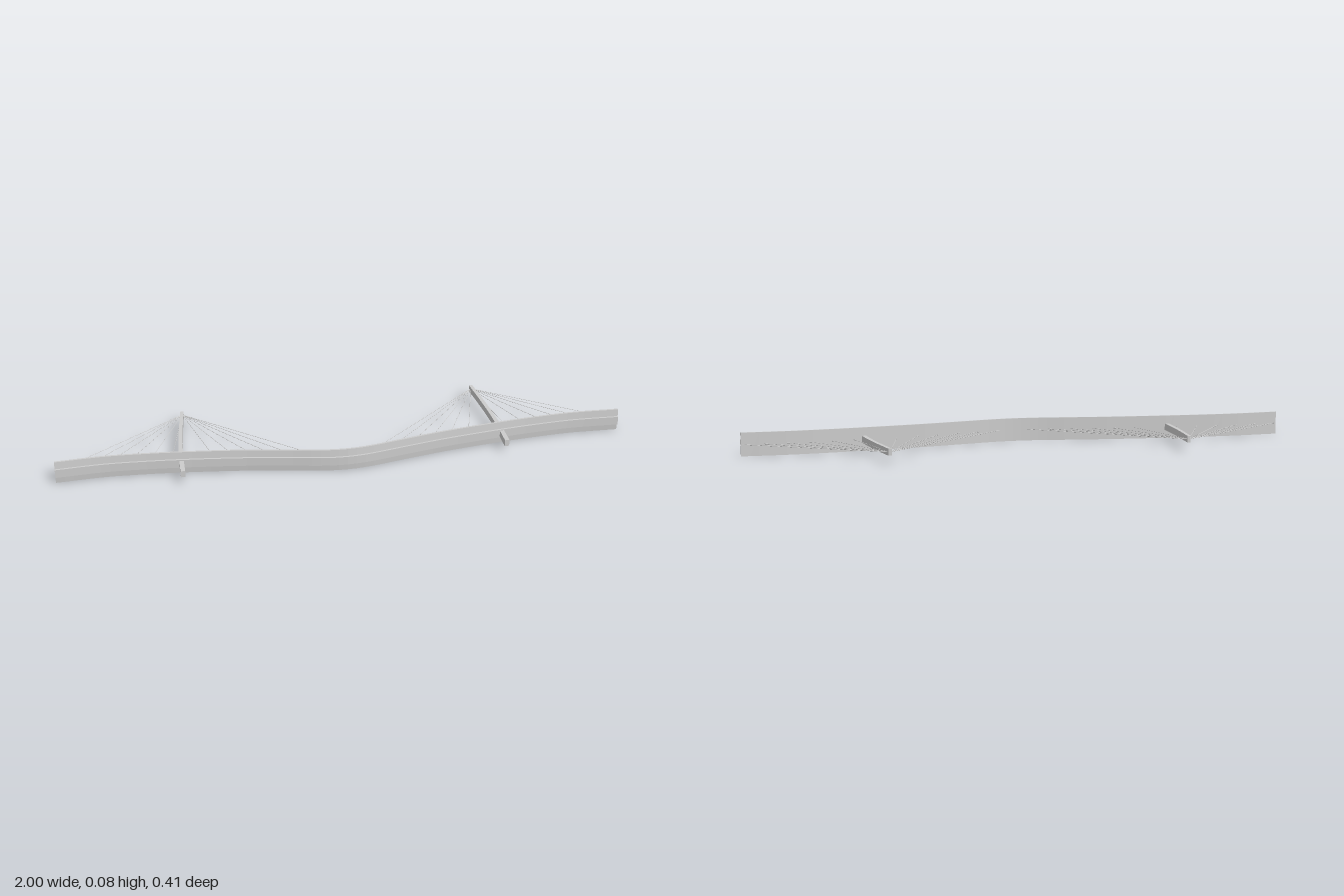
import * as THREE from 'three';

const MID = 0.0415; // centre line across the deck width
const mat = new THREE.MeshStandardMaterial({ color: 0xcccccc, flatShading: true, side: THREE.DoubleSide });

// Height curve of the road surface along x (mirrored about x = 0)
const half = [[0.07, 0.184], [0.2, 0.161], [0.35, 0.135], [0.57, 0.108], [0.7, 0.097], [0.83, 0.091], [1, 0.0975]];
const deckPoints = [...half.map(([x, z]) => [-x, z]).reverse(), [0, 0.1885], ...half];
const deckCurve = new THREE.CatmullRomCurve3(deckPoints.map(([x, z]) => new THREE.Vector3(x, 0, z)));

function deckZ(x) {
  let lo = 0, hi = 1;
  for (let i = 0; i < 24; i++) {
    const m = (lo + hi) / 2;
    if (deckCurve.getPoint(m).x < x) lo = m; else hi = m;
  }
  return deckCurve.getPoint(lo).z;
}

// Skin a row of equal closed loops and cap both ends
function loft(loops) {
  const n = loops[0].length, pos = loops.flat(2), idx = [];
  for (let i = 0; i < loops.length - 1; i++) {
    for (let j = 0; j < n; j++) {
      const a = i * n + j, b = i * n + (j + 1) % n;
      idx.push(a, b, a + n, b, b + n, a + n);
    }
  }
  const last = (loops.length - 1) * n;
  const cap = THREE.ShapeUtils.triangulateShape(loops[0].map((p) => capPoint(p, loops)), []);
  for (const [a, b, c] of cap) idx.push(a, c, b, last + a, last + b, last + c);
  const g = new THREE.BufferGeometry();
  g.setAttribute('position', new THREE.Float32BufferAttribute(pos, 3));
  g.setIndex(idx);
  const flat = g.toNonIndexed();
  flat.computeVertexNormals();
  return flat;
}

// Flatten a loop point: loops run either along x or along z
function capPoint([x, y, z], loops) {
  const alongX = loops[0][0][0] === loops[0][1][0];
  return alongX ? new THREE.Vector2(y, z) : new THREE.Vector2(x, y);
}

function add(parent, geometry, name) {
  const mesh = new THREE.Mesh(geometry, mat);
  mesh.name = name;
  parent.add(mesh);
  return mesh;
}

// Round rod between two points
function rod(parent, a, b, radius, name) {
  const mesh = add(parent, new THREE.CylinderGeometry(radius, radius, a.distanceTo(b), 6), name);
  mesh.position.copy(a).add(b).multiplyScalar(0.5);
  mesh.quaternion.setFromUnitVectors(new THREE.Vector3(0, 1, 0), b.clone().sub(a).normalize());
}

export function createModel() {
  const group = new THREE.Group();
  group.name = 'cableStayedBridge';

  // Deck: wide slab with a slightly sloping soffit and a deep central keel
  const section = [
    [0, 0], [0.083, 0], [0.083, 0.0065], [0.057, 0.009],
    [0.057, 0.0155], [0.026, 0.0155], [0.026, 0.009], [0, 0.0065],
  ];
  const deckLoops = [];
  for (let i = 0; i <= 64; i++) {
    const x = -1 + i / 32, z = deckZ(x);
    deckLoops.push(section.map(([y, dz]) => [x, y, z + dz]));
  }
  add(group, loft(deckLoops), 'deck');

  for (const side of [-1, 1]) {
    const tower = new THREE.Group();
    tower.name = side < 0 ? 'rightTower' : 'leftTower';
    group.add(tower);

    // Pylon: gently bowed, passing through the deck
    const axis = new THREE.CatmullRomCurve3(
      [[0.535, -0.204], [0.549, -0.1], [0.56, 0], [0.567, 0.1], [0.57, 0.189]]
        .map(([x, z]) => new THREE.Vector3(side * x, 0, z)));
    const pylonLoops = [];
    for (let i = 0; i <= 16; i++) {
      const p = axis.getPoint(i / 16), w = 0.006 + 0.002 * i / 16, h = 0.012;
      pylonLoops.push([[-w, -h], [w, -h], [w, h], [-w, h]].map(([dx, dy]) => [p.x + dx, MID + dy, p.z]));
    }
    add(tower, loft(pylonLoops), 'pylon');

    // Fan of stays from the pylon head to the deck centre line
    const head = new THREE.Vector3(side * 0.535, MID, -0.2);
    for (let k = -6; k <= 6; k++) {
      if (k === 0) continue;
      const x = side * (0.525 + k * 0.079);
      const foot = new THREE.Vector3(x, MID, deckZ(x) + 0.002);
      rod(tower, head, foot, 0.0009, 'stayCable');
      const sleeveTop = foot.clone().add(head.clone().sub(foot).setLength(0.014));
      rod(tower, foot, sleeveTop, 0.0016, 'cableAnchor');
    }
  }
  return group;
}
